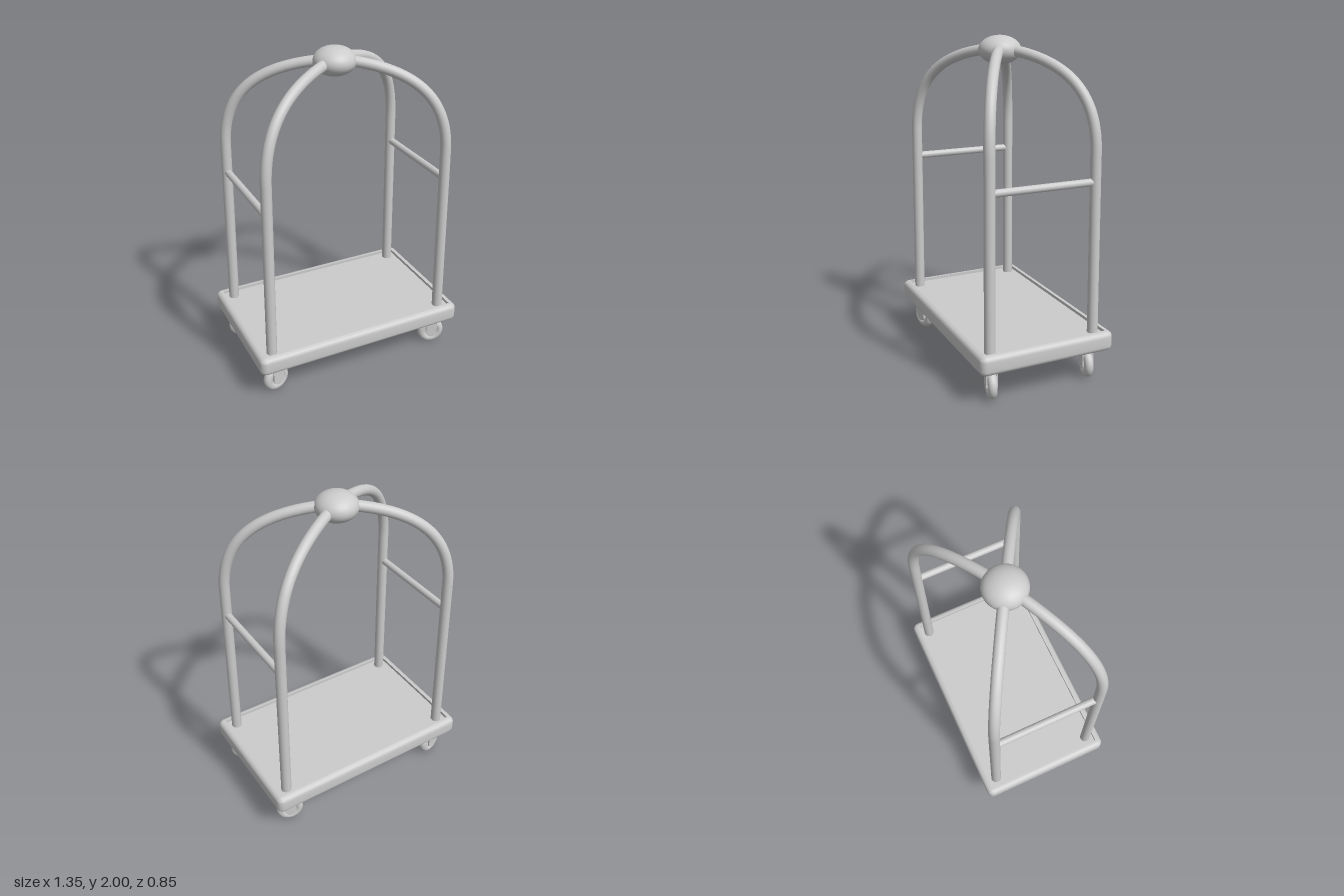
import * as THREE from 'three';
import { toCreasedNormals } from 'three/addons/utils/BufferGeometryUtils.js';

const mat = new THREE.MeshStandardMaterial({ color: 0xcccccc });
const HX = 0.677, HZ = 0.425; // half size of the platform
const BOTTOM = 0.2, TOP = 0.317, DECK = 0.298, RIM = 0.042;

function add(parent, name, geometry, x = 0, y = 0, z = 0) {
  const mesh = new THREE.Mesh(geometry, mat);
  mesh.name = name;
  mesh.position.set(x, y, z);
  parent.add(mesh);
  return mesh;
}

// Rim: a rounded profile (inset from the edge, height) swept round a rounded rectangle
function rimGeometry() {
  const corner = 0.04, f = 0.032, steps = 6;
  const profile = [[RIM, BOTTOM]];
  for (const [y, from] of [[BOTTOM + f, -Math.PI / 2], [TOP - f, 0]]) {
    for (let i = 0; i <= steps; i++) {
      const a = from + (i / steps) * Math.PI / 2;
      profile.push([f - f * Math.cos(a), y + f * Math.sin(a)]);
    }
  }
  profile.push([RIM, TOP], [RIM, DECK - 0.01]);

  const positions = [], indices = [];
  const signs = [[1, 1], [-1, 1], [-1, -1], [1, -1]];
  const ring = 4 * (steps + 1);
  for (const [d, y] of profile) {
    const inset = Math.max(d, corner), r = Math.max(corner - d, 0);
    signs.forEach(([sx, sz], q) => {
      for (let i = 0; i <= steps; i++) {
        const a = (q + i / steps) * Math.PI / 2;
        positions.push(sx * (HX - inset) + r * Math.cos(a), y, sz * (HZ - inset) + r * Math.sin(a));
      }
    });
  }
  for (let p = 0; p < profile.length - 1; p++) {
    for (let i = 0; i < ring; i++) {
      const j = (i + 1) % ring;
      const a = p * ring + i, b = p * ring + j, c = a + ring, d = b + ring;
      indices.push(a, c, b, b, c, d);
    }
  }
  const g = new THREE.BufferGeometry();
  g.setAttribute('position', new THREE.Float32BufferAttribute(positions, 3));
  g.setIndex(indices);
  return toCreasedNormals(g, 0.6);
}

// Upright that leans in slightly, then arches to the centre
function archGeometry(sx, sz) {
  const at = (r, y) => new THREE.Vector3(sx * r, y, sz * r * 0.577);
  const path = new THREE.CurvePath();
  path.add(new THREE.LineCurve3(at(0.578, 0.27), at(0.567, 1.4)));
  path.add(new THREE.CubicBezierCurve3(at(0.567, 1.4), at(0.556, 1.73), at(0.38, 1.89), at(0, 1.925)));
  return new THREE.TubeGeometry(path, 72, 0.032, 20, false);
}

// Caster: ring wheel between two round-ended fork plates
function makeCaster() {
  const caster = new THREE.Group();
  caster.name = 'caster';
  add(caster, 'wheel', new THREE.TorusGeometry(0.058, 0.028, 16, 36), 0, 0.09, 0);
  const w = 0.036, t = 0.01;
  const shape = new THREE.Shape();
  shape.moveTo(w, 0.115);
  shape.lineTo(-w, 0.115);
  shape.lineTo(-w, 0);
  shape.absarc(0, 0, w, Math.PI, Math.PI * 2, false);
  const plate = new THREE.ExtrudeGeometry(shape, { depth: t, bevelEnabled: false, curveSegments: 12 });
  for (const z of [0.024, -0.024 - t]) add(caster, 'forkPlate', plate, 0, 0.09, z);
  const axle = new THREE.CylinderGeometry(0.014, 0.014, 0.06, 16).rotateX(Math.PI / 2);
  add(caster, 'axle', axle, 0, 0.09, 0);
  return caster;
}

export function createModel() {
  const cart = new THREE.Group();
  cart.name = 'luggageCart';

  // Platform
  add(cart, 'platformRim', rimGeometry());
  add(cart, 'deck', new THREE.BoxGeometry(2 * (HX - RIM), DECK - BOTTOM, 2 * (HZ - RIM)), 0, (DECK + BOTTOM) / 2, 0);

  for (const sx of [-1, 1]) {
    for (const sz of [-1, 1]) {
      add(cart, 'archTube', archGeometry(sx, sz));
      // Casters swivelled a little
      const caster = makeCaster();
      caster.position.set(sx * 0.552, 0, sz * 0.314);
      caster.rotation.y = -sx * 0.26;
      cart.add(caster);
    }
    // Crossbar at each end
    const bar = new THREE.CylinderGeometry(0.022, 0.022, 0.64, 18).rotateX(Math.PI / 2);
    add(cart, 'crossbar', bar, sx * 0.569, 1.207, 0);
  }

  // Flattened ball where the arches meet
  add(cart, 'crownBall', new THREE.SphereGeometry(0.127, 40, 24), 0, 1.915, 0).scale.y = 0.67;
  return cart;
}
